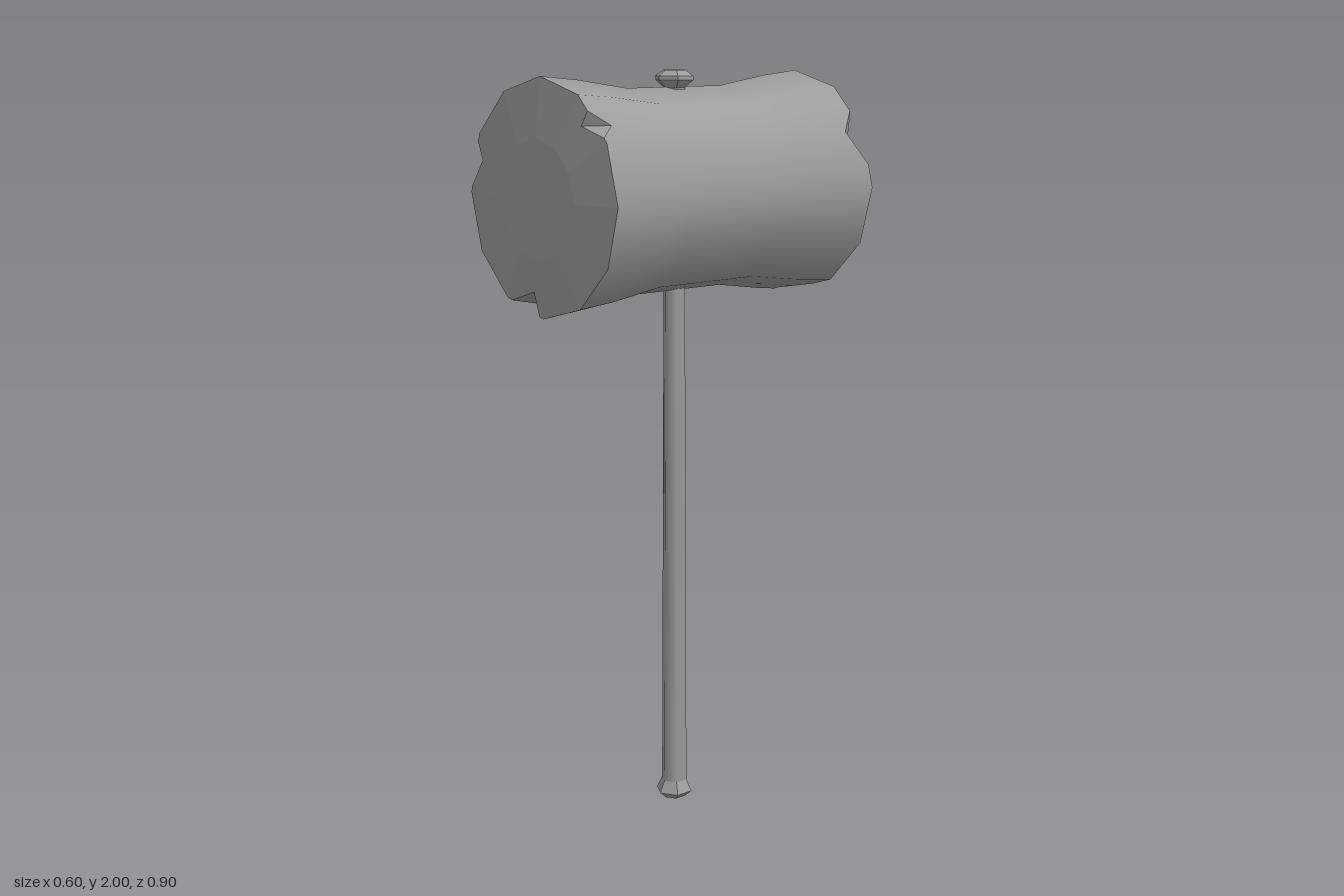
import * as THREE from 'three';
import { toCreasedNormals } from 'three/addons/utils/BufferGeometryUtils.js';

const SIDES = 12;
const rad = THREE.MathUtils.degToRad;
const lerp = THREE.MathUtils.lerp;

// Chips knocked out of each rim, angles in degrees counter-clockwise from +x:
// from / to on the rim, tip on the barrel side (angle, z), inner point on the striking face (angle, radius)
const frontChips = [
  { from: 33, to: 50, tip: 41, tipZ: 0.385, inner: 48, innerR: 0.25 },
  { from: 154, to: 177, tip: 164, tipZ: 0.35, inner: 161, innerR: 0.255 },
  { from: 244, to: 267, tip: 257, tipZ: 0.37, inner: 263, innerR: 0.235 },
];
const backChips = [
  { from: 12, to: 43, tip: 30, tipZ: 0.375, inner: 33, innerR: 0.235 },
  { from: 144, to: 165, tip: 147, tipZ: 0.378, inner: 153, innerR: 0.2 },
  { from: 258, to: 287, tip: 272, tipZ: 0.36, inner: 270, innerR: 0.22 },
];

// Barrel radius at a distance from the middle
function barrelRadius(z) {
  if (z <= 0.16) return 0.265;
  if (z <= 0.32) return lerp(0.265, 0.289, (z - 0.16) / 0.16);
  return lerp(0.289, 0.3, (z - 0.32) / 0.115);
}

// Outline of a regular polygon of corner radius 1
function polyRadius(deg) {
  const step = 360 / SIDES;
  const off = (((deg % step) + step) % step) - step / 2;
  return Math.cos(rad(step / 2)) / Math.cos(rad(off));
}

function polar(deg, r, z) {
  return new THREE.Vector3(r * Math.cos(rad(deg)), r * Math.sin(rad(deg)), z);
}

// Points of one half from the face centre to the waist, at one angle
function halfColumn(deg, chips, sign) {
  const corner = polyRadius(deg);
  let side = polar(deg, 0.3 * corner, 0.435);
  let face = side.clone();
  const c = chips.find((k) => deg > k.from && deg < k.to);
  if (c) {
    const t = deg <= c.tip ? (deg - c.from) / (c.tip - c.from) : (c.to - deg) / (c.to - c.tip);
    const z = lerp(0.435, c.tipZ, t);
    side = polar(deg, barrelRadius(z) * corner, z);
    const a = deg + (c.inner - c.tip) * t;
    const r = lerp(0.3 * corner, c.innerR, t);
    face = polar(a, r, 0.45 - (r / polyRadius(a) - 0.15) * 0.1);
  }
  const points = [
    new THREE.Vector3(0, 0, 0.45),
    polar(deg, 0.15 * corner, 0.45),
    face,
    side,
    polar(deg, barrelRadius(0.32) * corner, 0.32),
    polar(deg, barrelRadius(0.16) * corner, 0.16),
  ];
  points.forEach((p) => (p.z *= sign));
  return points;
}

// Smooth outward direction on the waisted barrel
function barrelNormal(p) {
  const slope = -0.13 * THREE.MathUtils.clamp(p.z / 0.32, -1, 1);
  const n = new THREE.Vector3(p.x, p.y, 0).normalize();
  return n.setZ(slope).normalize();
}

function headGeometry() {
  const angles = new Set();
  for (let i = 0; i < SIDES; i++) angles.add((i * 360) / SIDES);
  for (const c of [...frontChips, ...backChips]) [c.from, c.tip, c.to].forEach((a) => angles.add(a));
  const columns = [...angles]
    .sort((a, b) => a - b)
    .map((a) => [...halfColumn(a, frontChips, 1), ...halfColumn(a, backChips, -1).reverse()]);

  // Skin neighbouring columns, leaving out empty triangles; barrel smooth, faces and chips flat
  const positions = [];
  const normals = [];
  const triangle = (smooth, ...corners) => {
    const [a, b, c] = corners;
    const flat = b.clone().sub(a).cross(c.clone().sub(a));
    if (flat.length() < 1e-7) return;
    flat.normalize();
    for (const p of corners) {
      positions.push(...p.toArray());
      normals.push(...(smooth ? barrelNormal(p) : flat).toArray());
    }
  };
  columns.forEach((col, i) => {
    const next = columns[(i + 1) % columns.length];
    for (let j = 0; j < col.length - 1; j++) {
      const smooth = j >= 3 && j <= 7;
      triangle(smooth, col[j], col[j + 1], next[j + 1]);
      triangle(smooth, col[j], next[j + 1], next[j]);
    }
  });
  const geometry = new THREE.BufferGeometry();
  geometry.setAttribute('position', new THREE.Float32BufferAttribute(positions, 3));
  geometry.setAttribute('normal', new THREE.Float32BufferAttribute(normals, 3));
  return geometry;
}

// Six-sided turned part from [radius, y] pairs
function turned(profile) {
  return new THREE.LatheGeometry(profile.map(([r, y]) => new THREE.Vector2(r, y)), 6);
}

export function createModel() {
  const model = new THREE.Group();
  model.name = 'mallet';
  const material = new THREE.MeshStandardMaterial({ color: 0x9c9c9c });
  const add = (name, geometry) => {
    const mesh = new THREE.Mesh(geometry, material);
    mesh.name = name;
    model.add(mesh);
    return mesh;
  };

  add('head', headGeometry()).position.y = 1.692;

  // Tapered shaft running up into the head
  add('handle', turned([[0.036, 0.045], [0.03, 1.45], [0.03, 1.96]]));

  // Flared grip end
  const pommel = turned([[0, 0], [0.03, 0], [0.051, 0.018], [0.036, 0.05]]);
  add('pommel', toCreasedNormals(pommel, rad(30)));

  // Handle tip showing above the head
  const knob = turned([[0.03, 1.94], [0.03, 1.955], [0.052, 1.975], [0.052, 1.985], [0.03, 2], [0, 2]]);
  add('topKnob', toCreasedNormals(knob, rad(30)));

  return model;
}
